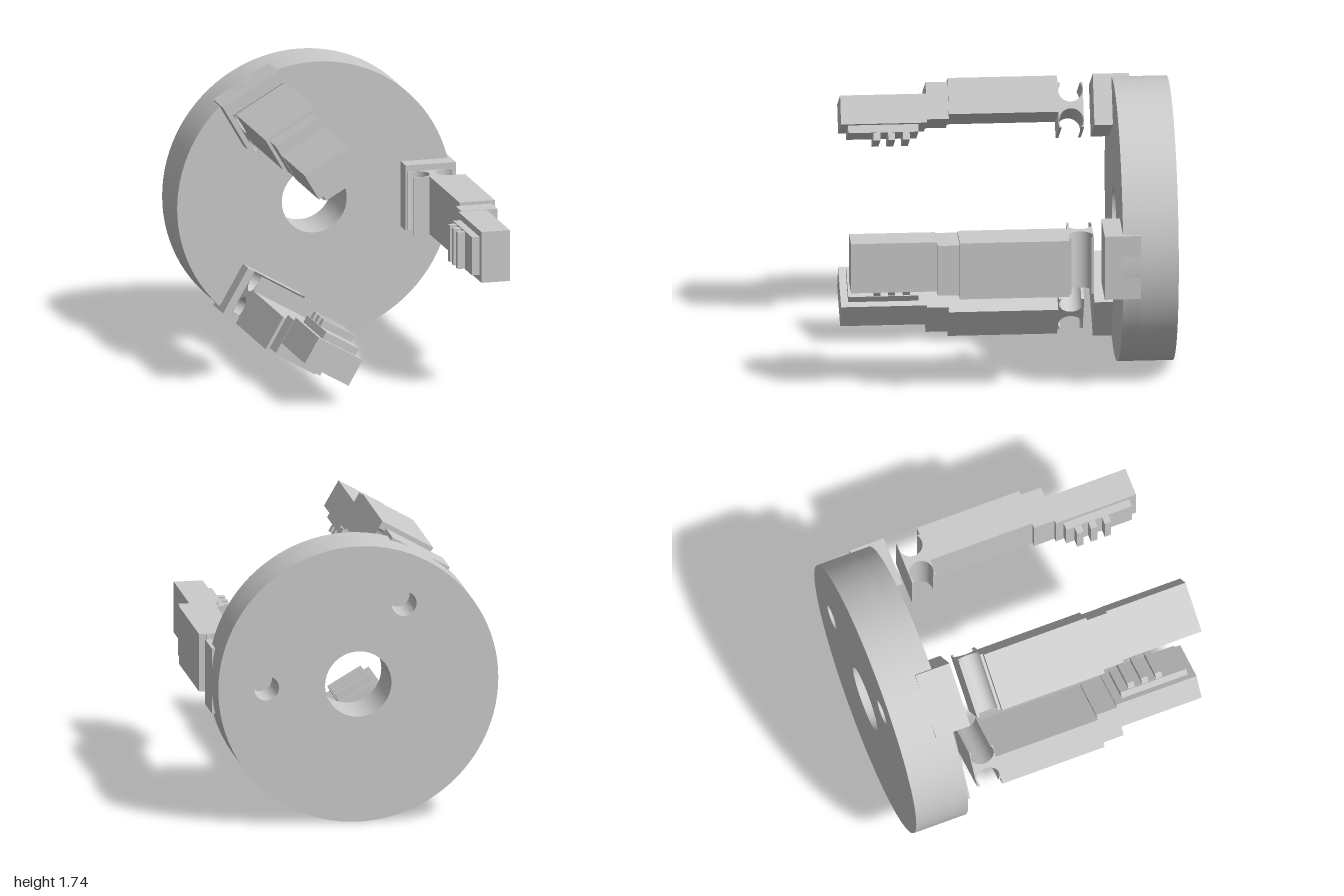
import * as THREE from 'three';
import { toCreasedNormals } from 'three/addons/utils/BufferGeometryUtils.js';

const AXIS_Y = 0.87;
const material = new THREE.MeshStandardMaterial({ color: 0xcccccc });

function part(name, geometry, parent) {
  const mesh = new THREE.Mesh(geometry, material);
  mesh.name = name;
  parent.add(mesh);
  return mesh;
}

// Box given by radial range, half width and depth range
function block(name, x0, x1, halfWidth, z0, z1, parent) {
  const geometry = new THREE.BoxGeometry(x1 - x0, halfWidth * 2, z1 - z0);
  geometry.translate((x0 + x1) / 2, 0, (z0 + z1) / 2);
  return part(name, geometry, parent);
}

function extrude(shape, depth) {
  const geometry = new THREE.ExtrudeGeometry(shape, { depth, bevelEnabled: false, curveSegments: 48 });
  return toCreasedNormals(geometry, 0.5);
}

// Round plate slice with holes given as [x, y, radius]
function plate(name, z0, z1, holes, parent) {
  const shape = new THREE.Shape().absarc(0, 0, 0.87, 0, Math.PI * 2);
  for (const [x, y, r] of holes) shape.holes.push(new THREE.Path().absarc(x, y, r, 0, Math.PI * 2, true));
  part(name, extrude(shape, z1 - z0).translate(0, 0, z0), parent);
}

// Joint profile: two hook-shaped grooves leaving a narrow neck
function jointGeometry(halfWidth) {
  const r = 0.0744, zc = -0.4075, a = Math.atan2(0.06, 0.044);
  const shape = new THREE.Shape();
  shape.moveTo(0.541, -0.485);
  shape.lineTo(0.82, -0.485);
  shape.absarc(0.776, zc, r, -a, a, true);
  shape.lineTo(0.82, -0.33);
  shape.lineTo(0.541, -0.33);
  shape.absarc(0.585, zc, r, Math.PI - a, Math.PI + a, true);
  shape.closePath();
  return extrude(shape, halfWidth * 2).translate(0, 0, -halfWidth).rotateX(Math.PI / 2);
}

function createFinger() {
  const finger = new THREE.Group();
  finger.name = 'finger';
  block('sliderBlock', 0.548, 0.867, 0.205, -0.77, -0.547, finger);
  part('flexJoint', jointGeometry(0.182), finger);
  block('fingerBase', 0.64, 0.865, 0.182, -0.33, 0.34, finger);
  block('fingerStep', 0.615, 0.845, 0.162, 0.34, 0.475, finger);
  block('fingerTip', 0.595, 0.775, 0.16, 0.475, 1, finger);
  block('gripPad', 0.547, 0.597, 0.12, 0.525, 0.955, finger);
  // Grip ridges on the pad
  for (const z of [0.6, 0.69, 0.78]) block('gripRidge', 0.5, 0.55, 0.115, z - 0.021, z + 0.021, finger);
  return finger;
}

export function createModel() {
  const model = new THREE.Group();
  model.name = 'threeFingerGripper';
  const body = new THREE.Group();
  body.position.y = AXIS_Y;
  model.add(body);

  // Base plate: central bore right through, two blind holes at the back
  const bore = [0, 0, 0.206];
  const blind = [0, 1].map((i) => {
    const angle = (i * Math.PI * 2) / 3;
    return [0.57 * Math.cos(angle), 0.57 * Math.sin(angle), 0.077];
  });
  plate('basePlateBack', -1, -0.77, [bore, ...blind], body);
  plate('basePlateFront', -0.77, -0.66, [bore], body);

  // Three fingers around the axis
  for (let i = 0; i < 3; i++) {
    const finger = createFinger();
    finger.rotation.z = (i * Math.PI * 2) / 3;
    body.add(finger);
  }
  return model;
}
